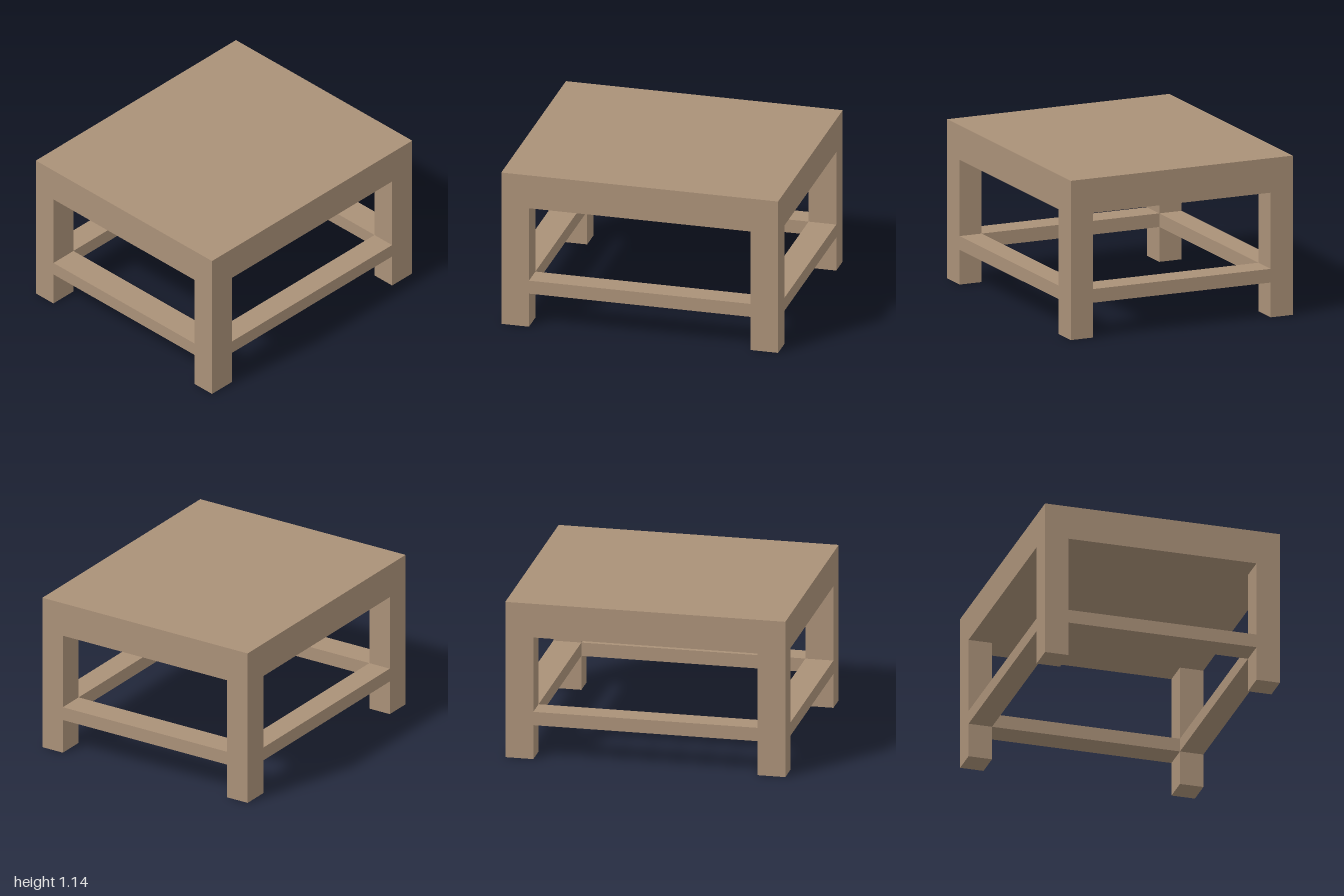
import * as THREE from 'three';

export function createModel() {
  const group = new THREE.Group();
  group.name = 'lowTable';
  const wood = new THREE.MeshStandardMaterial({ color: 0xaa9178 });

  const W = 2, D = 1.714, H = 1.143;        // overall size
  const legW = 0.2, legD = 0.171;           // leg section
  const topBottom = 0.895;                  // underside of the slab
  const railBottom = 0.25, railTop = 0.348; // stretcher heights

  // Box standing from y0 to y1, centred on (x, z)
  function block(name, w, d, y0, y1, x, z) {
    const mesh = new THREE.Mesh(new THREE.BoxGeometry(w, y1 - y0, d), wood);
    mesh.position.set(x, (y0 + y1) / 2, z);
    mesh.name = name;
    group.add(mesh);
  }

  // Thick solid top
  block('tableTop', W, D, topBottom, H, 0, 0);

  const legX = (W - legW) / 2, legZ = (D - legD) / 2;
  for (const s of [-1, 1]) {
    // Legs flush with the corners of the top
    for (const t of [-1, 1]) {
      block(`${t > 0 ? 'front' : 'back'}${s > 0 ? 'Left' : 'Right'}Leg`,
        legW, legD, 0, topBottom, s * legX, t * legZ);
    }
    // Stretchers as wide as the legs they join
    block(s > 0 ? 'frontStretcher' : 'backStretcher',
      W - 2 * legW, legD, railBottom, railTop, 0, s * legZ);
    block(s > 0 ? 'leftStretcher' : 'rightStretcher',
      legW, D - 2 * legD, railBottom, railTop, s * legX, 0);
  }
  return group;
}
